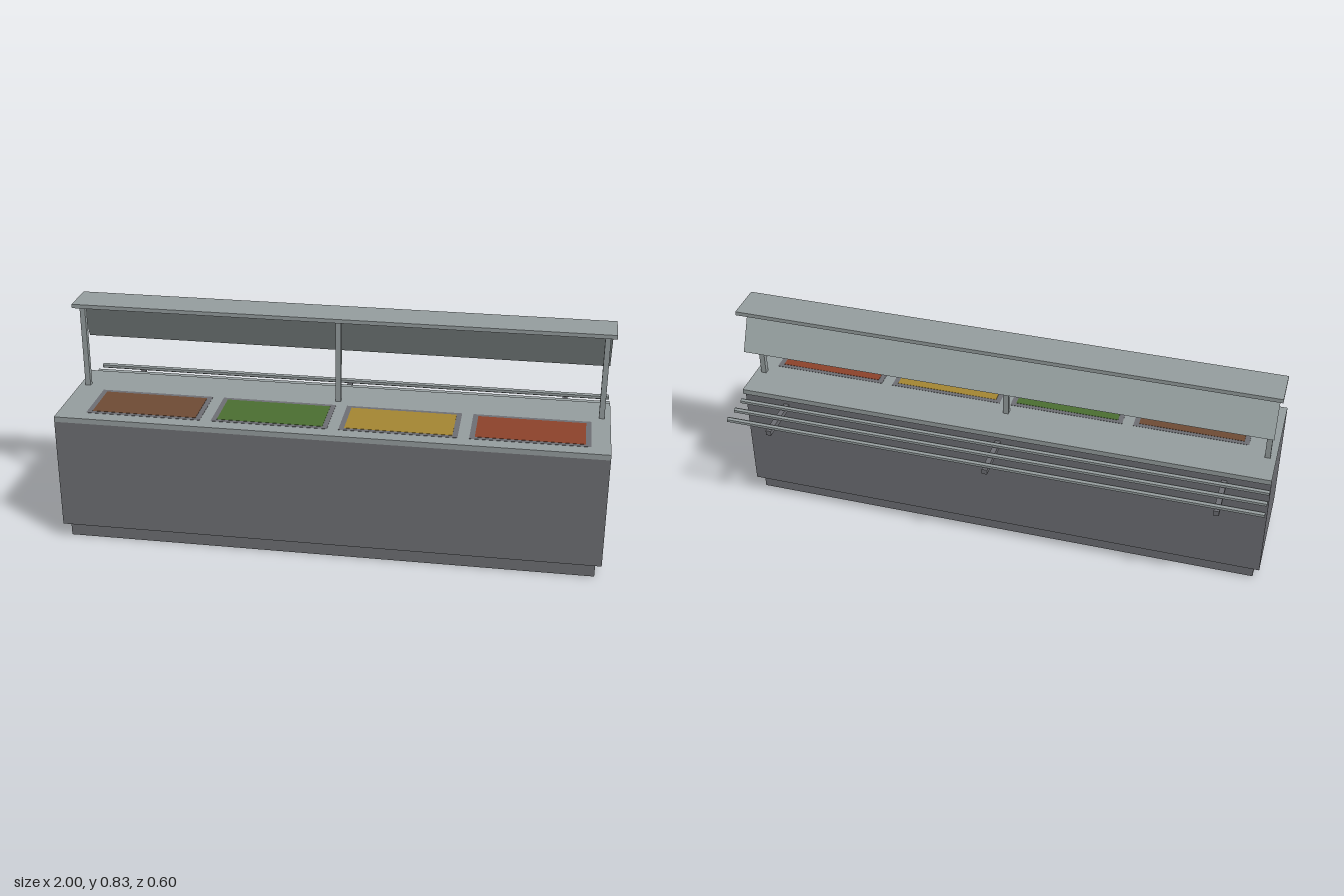
import * as THREE from 'three';

function mat(name, color, side = THREE.FrontSide) {
  const m = new THREE.MeshStandardMaterial({ color, side });
  m.name = name;
  return m;
}

export function createModel() {
  const model = new THREE.Group();
  model.name = 'servingCounter';

  const steel = mat('brushed steel', 0x969e9f);
  const dark = mat('dark grey panel', 0x6e6f74, THREE.DoubleSide);
  const glass = mat('sneeze guard glass', 0x9ca6a6, THREE.DoubleSide);
  const foods = [
    mat('brown food', 0x6f4b35),
    mat('green food', 0x4b6f32),
    mat('yellow food', 0xa58733),
    mat('red food', 0x8d432b),
  ];

  const add = (name, geometry, material) => {
    const mesh = new THREE.Mesh(geometry, material);
    mesh.name = name;
    model.add(mesh);
    return mesh;
  };

  // Box geometry given by its limits on each axis
  const boxGeo = (x0, x1, y0, y1, z0, z1) =>
    new THREE.BoxGeometry(x1 - x0, y1 - y0, z1 - z0)
      .translate((x0 + x1) / 2, (y0 + y1) / 2, (z0 + z1) / 2);

  // Remove chosen sides of a box (order: +x, -x, +y, -y, +z, -z)
  const openBox = (geometry, removed) => {
    const index = Array.from(geometry.index.array);
    geometry.setIndex(index.filter((_, i) => !removed.includes(Math.floor(i / 6))));
    geometry.clearGroups();
    return geometry;
  };

  // Hollow cabinet, open underneath, on a recessed plinth
  add('cabinet', openBox(boxGeo(-1, 1, 0.058, 0.48, -0.125, 0.3), [3]), dark);
  add('plinth', openBox(boxGeo(-0.978, 0.978, 0, 0.058, -0.1, 0.275), [2, 3]), dark);

  // Underside ledge between cabinet and plinth
  const rect = (Type, x, z0, z1) => {
    const p = new Type();
    p.moveTo(-x, z0).lineTo(x, z0).lineTo(x, z1).lineTo(-x, z1).closePath();
    return p;
  };
  const ledge = rect(THREE.Shape, 1, -0.125, 0.3);
  ledge.holes.push(rect(THREE.Path, 0.978, -0.1, 0.275));
  add('cabinetLedge',
    new THREE.ShapeGeometry(ledge).rotateX(Math.PI / 2).translate(0, 0.058, 0), dark);

  // Worktop
  add('worktop', boxGeo(-1, 1, 0.48, 0.5, -0.145, 0.3), steel);

  // Four food pans with dark rims
  foods.forEach((food, i) => {
    const x = -0.682 + i * 0.467;
    add('panRim', boxGeo(x - 0.213, x + 0.213, 0.498, 0.501, 0.035, 0.246), dark);
    add('panFood', boxGeo(x - 0.194, x + 0.194, 0.499, 0.502, 0.052, 0.23), food);
  });

  // Posts carrying the upper shelf
  for (const x of [-0.968, 0, 0.968]) {
    add('shelfPost', boxGeo(x - 0.01, x + 0.01, 0.5, 0.82, -0.02, 0), steel);
  }
  add('upperShelf', boxGeo(-1, 1, 0.819, 0.834, -0.121, 0.022), steel);

  // Sloping guard below the shelf
  const top = { y: 0.819, z: -0.04 };
  const bottom = { y: 0.658, z: -0.12 };
  const length = Math.hypot(top.y - bottom.y, top.z - bottom.z);
  const guard = add('sneezeGuard', new THREE.PlaneGeometry(1.975, length), glass);
  guard.position.set(0, (top.y + bottom.y) / 2, (top.z + bottom.z) / 2);
  guard.rotation.x = Math.atan2(top.z - bottom.z, top.y - bottom.y);

  // Tray slide: three six-sided rails on brackets
  for (const z of [-0.166, -0.227, -0.288]) {
    const rail = new THREE.CylinderGeometry(0.01, 0.01, 2, 6).toNonIndexed();
    rail.computeVertexNormals();
    rail.rotateY(Math.PI / 6).rotateZ(Math.PI / 2).translate(0, 0.462, z);
    add('trayRail', rail, steel);
  }
  for (const x of [-0.835, 0, 0.835]) {
    add('trayBracket', boxGeo(x - 0.01, x + 0.01, 0.43, 0.45, -0.3, -0.125), dark);
  }

  return model;
}
